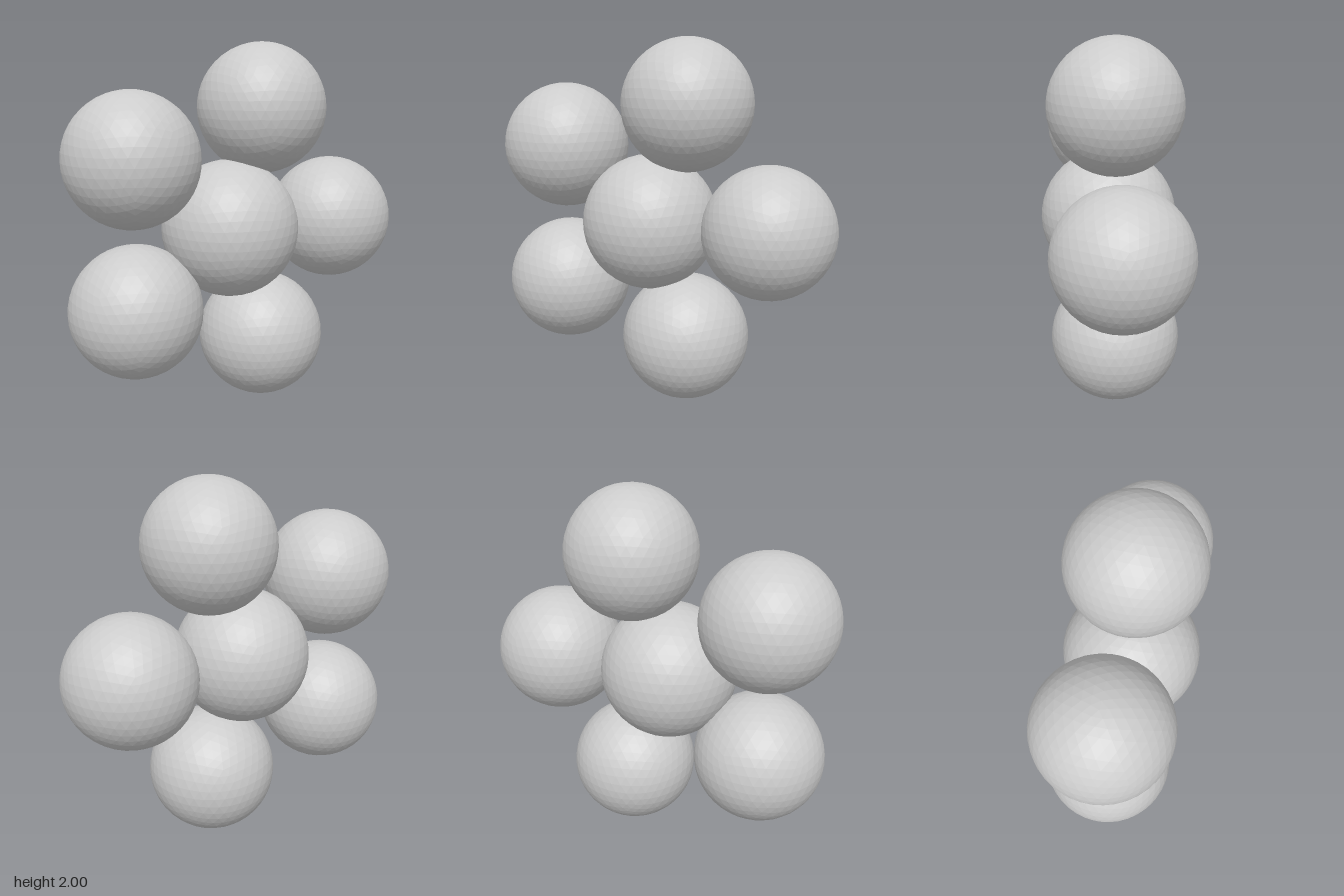
import * as THREE from 'three';

export function createModel() {
  const model = new THREE.Group();
  const material = new THREE.MeshStandardMaterial({ color: 0xcccccc, flatShading: true });

  // Faceted ball with one icosahedron corner pointing straight up
  function addBall(name, radius, x, y, z) {
    const geometry = new THREE.IcosahedronGeometry(radius, 7);
    geometry.rotateZ(-Math.atan(2 / (1 + Math.sqrt(5))));
    const ball = new THREE.Mesh(geometry, material);
    ball.name = name;
    ball.position.set(x, y, z);
    model.add(ball);
  }

  // Centre of the flower
  const cx = -0.07, cy = 1.003;
  addBall('centreBall', 0.375, cx, cy, 0);

  // Five petals evenly spaced around it, set slightly back
  const ring = 0.677;
  for (let i = 0; i < 5; i++) {
    const a = (i * Math.PI * 2) / 5;
    addBall(`petalBall${i + 1}`, 0.354, cx + ring * Math.cos(a), cy + ring * Math.sin(a), -0.021);
  }
  return model;
}
